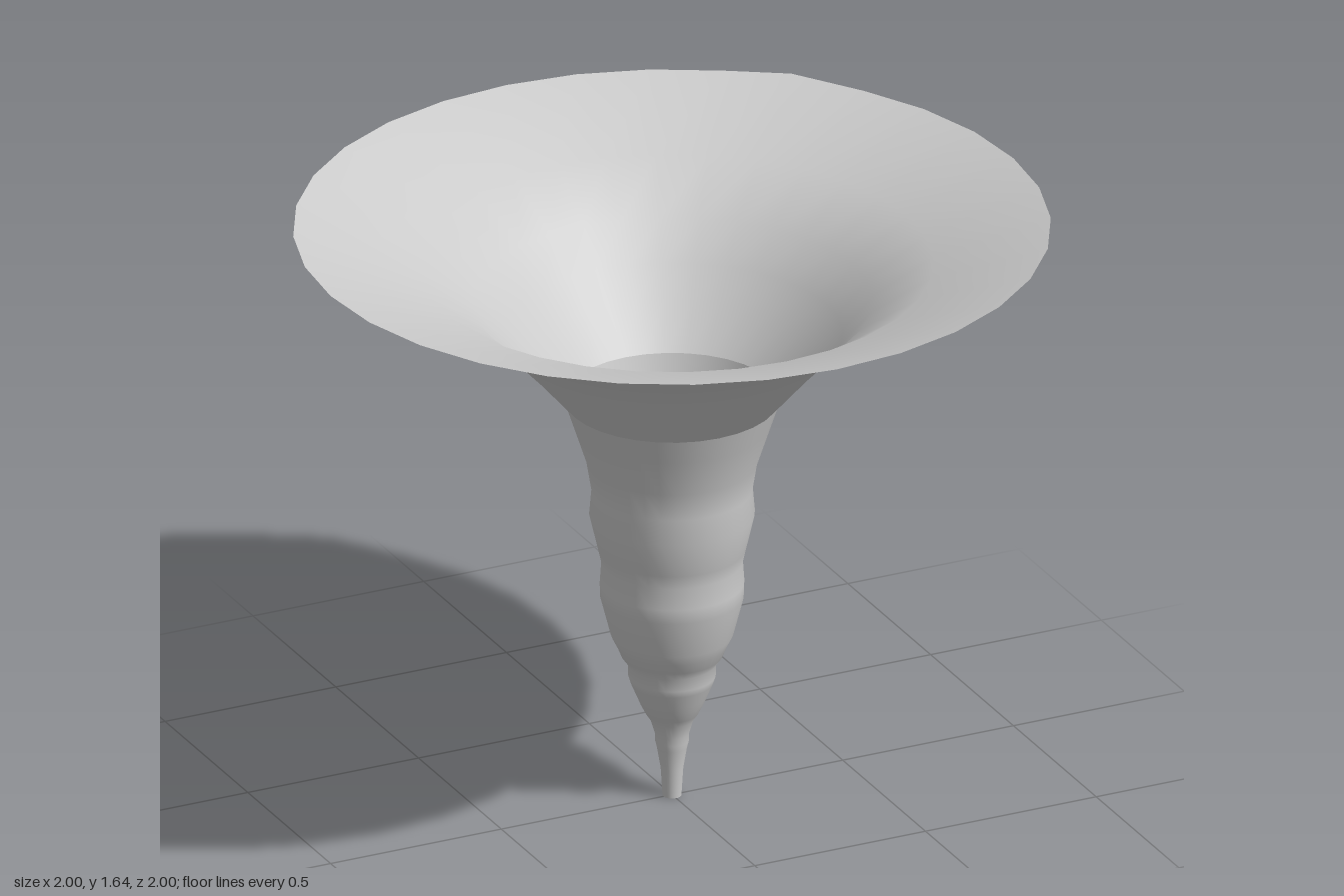
import * as THREE from 'three';

const SEGMENTS = 32;

// Profiles as [radius, height], from bottom to top
const stemProfile = [
  [0.025, 0], [0.03, 0.08], [0.04, 0.14], [0.045, 0.16], [0.045, 0.18], [0.057, 0.22],
  [0.07, 0.24], [0.085, 0.27], [0.093, 0.29], [0.11, 0.33], [0.116, 0.35], [0.117, 0.385],
  [0.135, 0.41], [0.147, 0.44], [0.162, 0.47], [0.19, 0.58], [0.191, 0.62], [0.187, 0.68],
  [0.196, 0.72], [0.219, 0.82], [0.213, 0.89], [0.226, 0.97], [0.262, 1.08], [0.285, 1.15],
];
const bellProfile = [
  [0.285, 1.15], [0.38, 1.26], [0.45, 1.335], [0.53, 1.43], [0.69, 1.54], [1, 1.645],
];

function turned(name, profile, material) {
  const points = profile.map(([r, y]) => new THREE.Vector2(r, y));
  const mesh = new THREE.Mesh(new THREE.LatheGeometry(points, SEGMENTS), material);
  mesh.name = name;
  return mesh;
}

export function createModel() {
  const group = new THREE.Group();
  group.name = 'funnel';
  const material = new THREE.MeshStandardMaterial({ color: 0xcccccc, side: THREE.DoubleSide });

  // Rippled hollow stem, open at the tip
  const stem = turned('stem', stemProfile, material);

  // Flared bell, with one rim corner pulled slightly outward at the back
  const bell = turned('bell', bellProfile, material);
  const position = bell.geometry.attributes.position;
  const corner = 12 * bellProfile.length + bellProfile.length - 1;
  position.setZ(corner, position.getZ(corner) - 0.03);

  group.add(stem, bell);
  return group;
}
